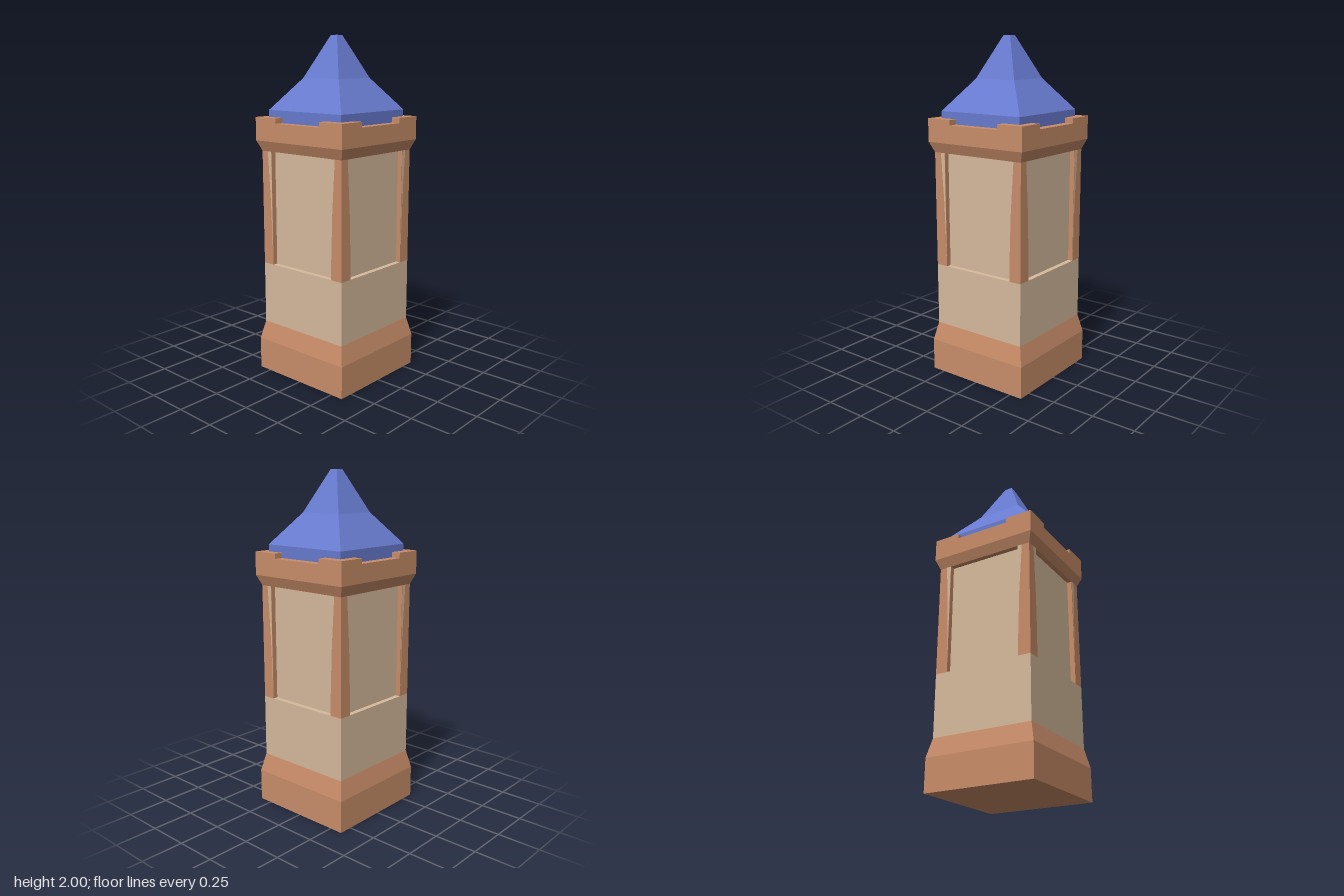
import * as THREE from 'three';

const brick = new THREE.MeshStandardMaterial({ color: 0xc98d69 });
brick.name = 'brick brown';
const plaster = new THREE.MeshStandardMaterial({ color: 0xd6ba9c });
plaster.name = 'plaster cream';
const slate = new THREE.MeshStandardMaterial({ color: 0x687bd0 });
slate.name = 'roof blue';

// Square solid built from [half width, height] rings, bottom to top
function squareSolid(name, rings, material) {
  const first = rings[0], last = rings[rings.length - 1];
  const points = [[0, first[1]], ...rings, [0, last[1]]]
    .map(([half, y]) => new THREE.Vector2(half * Math.SQRT2, y));
  const geometry = new THREE.LatheGeometry(points, 4, Math.PI / 4).toNonIndexed();
  geometry.computeVertexNormals();
  const mesh = new THREE.Mesh(geometry, material);
  mesh.name = name;
  return mesh;
}

// Box given by its lower and upper corners
function boxBetween(name, [x0, y0, z0], [x1, y1, z1], material) {
  const mesh = new THREE.Mesh(new THREE.BoxGeometry(x1 - x0, y1 - y0, z1 - z0), material);
  mesh.position.set((x0 + x1) / 2, (y0 + y1) / 2, (z0 + z1) / 2);
  mesh.name = name;
  return mesh;
}

export function createModel() {
  const tower = new THREE.Group();
  tower.name = 'tower';

  const sill = 0.67, lintel = 1.345, wall = 0.305, inner = 0.23;

  tower.add(
    squareSolid('plinth', [[0.33, 0], [0.33, 0.19], [wall, 0.3]], brick),
    squareSolid('lowerWall', [[wall, 0.3], [wall, sill]], plaster),
    squareSolid('recessedPanels', [[0.275, sill], [0.275, lintel]], plaster),
    squareSolid('cornice', [[wall, lintel], [0.33, 1.405], [0.33, 1.51]], brick),
    squareSolid('roof', [[0.275, 1.51], [0.275, 1.58], [0.135, 1.76], [0.023, 2]], slate),
  );

  // One corner post and raised parapet corner per quarter turn
  for (let i = 0; i < 4; i++) {
    const corner = new THREE.Group();
    corner.name = 'corner' + (i + 1);
    corner.rotation.y = i * Math.PI / 2;
    corner.add(
      boxBetween('cornerPost', [inner, sill, inner], [wall, lintel, wall], brick),
      boxBetween('parapetCorner', [0.167, 1.51, 0.167], [0.33, 1.54, 0.33], brick),
    );

    // Slender plaster wedges beside the panel
    for (const side of [-1, 1]) {
      const wedge = new THREE.Shape([
        new THREE.Vector2(side * inner, 0.72),
        new THREE.Vector2(side * 0.24, 1.05),
        new THREE.Vector2(side * 0.258, lintel),
        new THREE.Vector2(side * inner, lintel),
      ]);
      const mesh = new THREE.Mesh(new THREE.ShapeGeometry(wedge), plaster);
      mesh.position.z = wall + 0.002;
      mesh.name = 'plasterWedge';
      corner.add(mesh);
    }
    tower.add(corner);
  }

  return tower;
}
